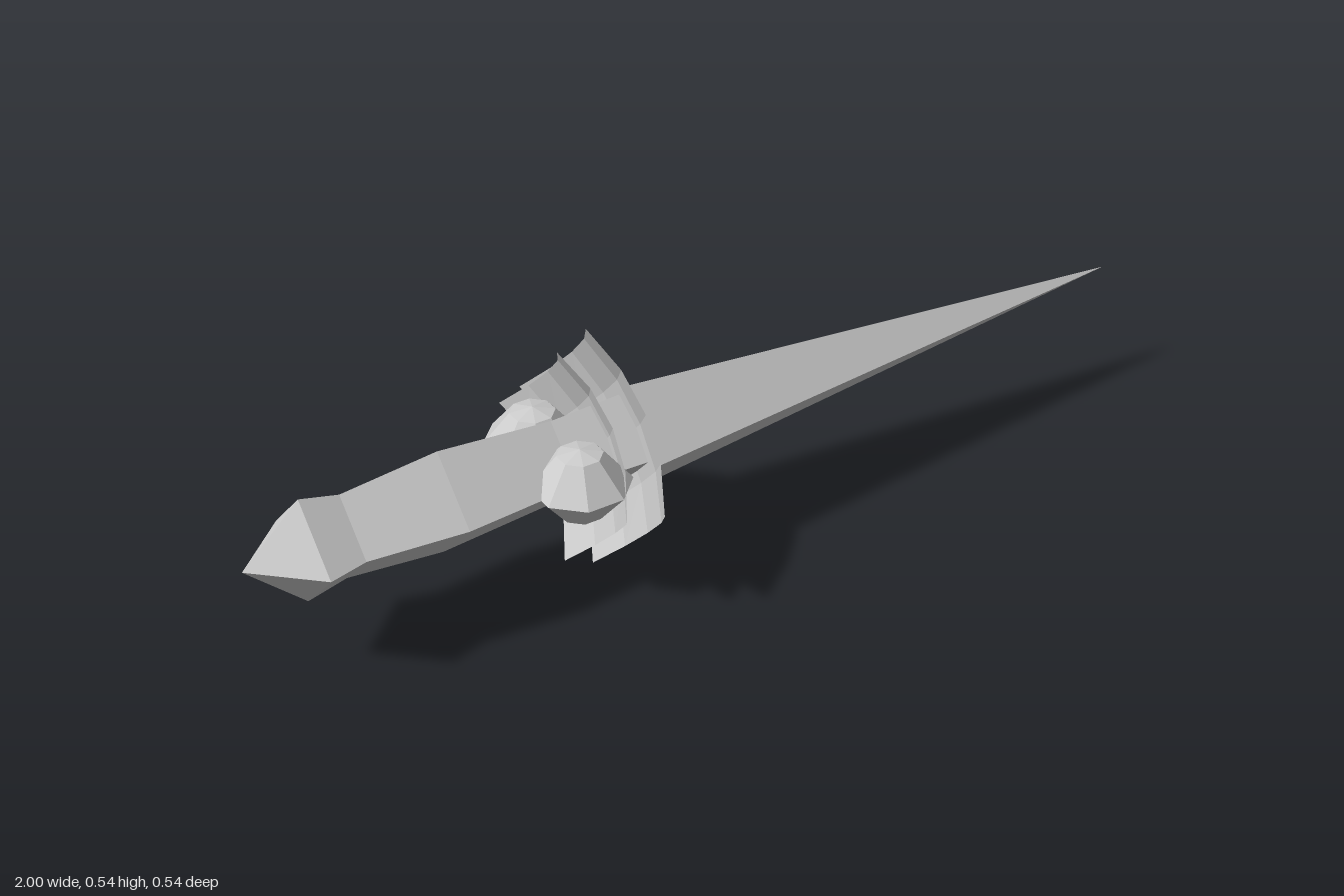
import * as THREE from 'three';

const AXIS_Y = 0.268;

export function createModel() {
  const group = new THREE.Group();
  group.name = 'dagger';
  const steel = new THREE.MeshStandardMaterial({ color: 0xcccccc, flatShading: true, side: THREE.DoubleSide });
  steel.name = 'pale steel';

  const add = (name, geometry, x = 0, z = 0) => {
    const mesh = new THREE.Mesh(geometry, steel);
    mesh.name = name;
    mesh.position.set(x, AXIS_Y, z);
    group.add(mesh);
    return mesh;
  };

  // Four-sided spindle along x from [x, radius] pairs, corners on y and z
  const spindle = (profile) => {
    const points = profile.map(([x, r]) => new THREE.Vector2(r, x));
    return new THREE.LatheGeometry(points, 4).rotateZ(-Math.PI / 2);
  };

  // Pommel and grip
  add('pommel', spindle([[-1, 0], [-0.88, 0.113], [-0.8, 0.093]]));
  add('grip', spindle([[-0.8, 0.093], [-0.6, 0.113], [-0.36, 0.093], [-0.2, 0.1]]));

  // Blade, with its upper and lower ridges set slightly off centre
  const blade = spindle([[-0.2, 0], [-0.2, 0.122], [1, 0]]);
  const bp = blade.attributes.position;
  for (let i = 0; i < bp.count; i++) {
    if (Math.abs(bp.getY(i)) > 0.1) bp.setZ(i, 0.012);
  }
  add('blade', blade);

  // Guard: diamond sheet whose four tips sweep back toward the grip
  const guard = (reach) => {
    const side = reach * Math.SQRT2;
    const g = new THREE.PlaneGeometry(side, side, 4, 4).rotateZ(Math.PI / 4).rotateY(Math.PI / 2);
    const p = g.attributes.position;
    for (let i = 0; i < p.count; i++) {
      const r = Math.hypot(p.getY(i), p.getZ(i)) / reach;
      p.setX(i, -0.08 * Math.pow(r, 2.4));
    }
    return g;
  };
  add('frontGuard', guard(0.268), -0.198);
  add('rearGuard', guard(0.238), -0.261);

  // Faceted knobs on both sides of the grip, behind the guards
  const knobProfile = [[0, -0.075], [0.045, -0.065], [0.1, 0], [0.045, 0.065], [0, 0.075]]
    .map(([r, y]) => new THREE.Vector2(r, y));
  for (const s of [-1, 1]) {
    const knob = new THREE.LatheGeometry(knobProfile, 8).rotateY(Math.PI / 8);
    add(s > 0 ? 'frontKnob' : 'backKnob', knob, -0.35, s * 0.088);
  }

  return group;
}
